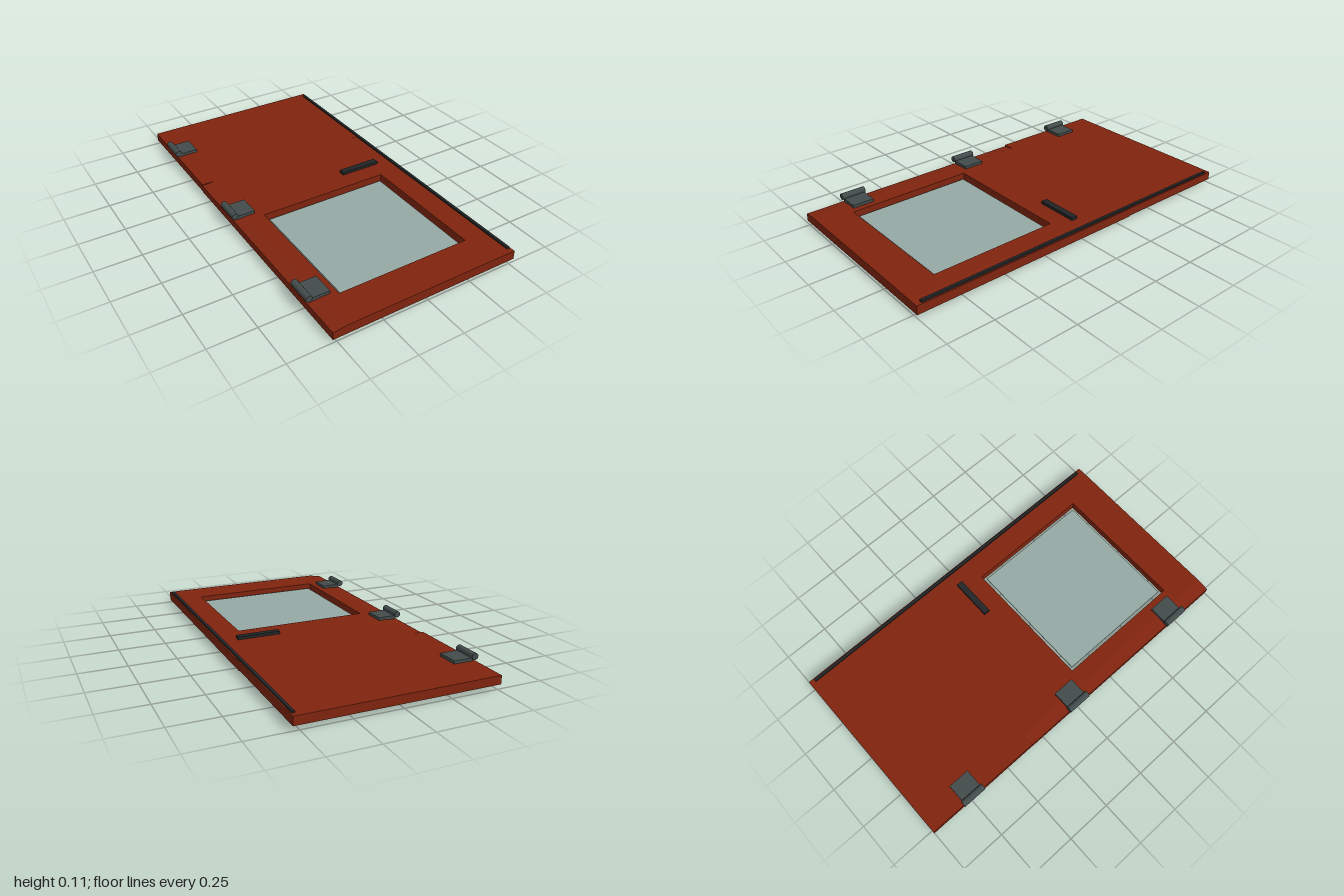
import * as THREE from 'three';

const paint = (name, color) => Object.assign(new THREE.MeshStandardMaterial({ color }), { name });

export function createModel() {
  const red = paint('red paint', 0x80240f);
  const glass = paint('window glass', 0x95a9a5);
  const steel = paint('dark steel', 0x424b4b);
  const black = paint('black rubber', 0x222425);
  const door = new THREE.Group();
  door.name = 'door';

  function add(name, geometry, material, parent = door) {
    const mesh = new THREE.Mesh(geometry, material);
    mesh.name = name;
    parent.add(mesh);
    return mesh;
  }
  // Box given by its limits on each axis
  function slab(name, [x0, x1], [y0, y1], [z0, z1], material, parent) {
    const mesh = add(name, new THREE.BoxGeometry(x1 - x0, y1 - y0, z1 - z0), material, parent);
    mesh.position.set((x0 + x1) / 2, (y0 + y1) / 2, (z0 + z1) / 2);
    return mesh;
  }
  // Cross-section in x and y, run along z
  function bar(name, points, z0, z1) {
    const shape = new THREE.Shape(points.map(([x, y]) => new THREE.Vector2(x, y)));
    const geometry = new THREE.ExtrudeGeometry(shape, { depth: z1 - z0, bevelEnabled: false });
    geometry.translate(0, 0, z0);
    add(name, geometry, red);
  }

  // Door leaf: edges of the window half dip slightly at the sides
  const bottom = 0.017, top = 0.067;
  const leftEdge = [[0.53, bottom], [0.53, 0.065], [0.47, top]];
  const hingeEdge = [[-0.45, top], [-0.52, 0.058], [-0.52, bottom]];
  const full = [...leftEdge, ...hingeEdge];
  bar('frontRail', full, 0.81, 1);
  bar('middleRail', full, -0.33, 0.1);
  bar('hingeStile', [[-0.365, bottom], [-0.365, top], ...hingeEdge], 0.1, 0.81);
  bar('latchStile', [...leftEdge, [0.38, top], [0.38, bottom]], 0.1, 0.81);
  slab('rearPanel', [-0.52, 0.53], [0.022, top], [-1, -0.33], red);

  // Window pane, held clear of its opening
  slab('windowPane', [-0.345, 0.36], [0.035, 0.043], [0.12, 0.79], glass);

  // Edge seal and handle
  slab('edgeSeal', [0.507, 0.523], [0.06, 0.075], [-0.97, 0.97], black);
  slab('handle', [0.195, 0.43], [0.066, 0.083], [-0.04, -0.005], black);

  // Lining under the rear half with cross ribs
  slab('lining', [-0.45, 0.47], [0.009, 0.024], [-0.91, -0.03], black);
  for (const z of [-0.2, -0.47, -0.74]) {
    slab('liningRib', [-0.415, 0.43], [0, 0.01], [z - 0.025, z + 0.025], black);
  }

  // Hinges: a leaf and a barrel each
  for (const z of [-0.733, 0, 0.73]) {
    const hinge = new THREE.Group();
    hinge.name = 'hinge';
    hinge.position.z = z;
    slab('hingeLeaf', [-0.507, -0.4], [0.064, 0.083], [-0.06, 0.06], steel, hinge);
    const barrel = add('hingeBarrel', new THREE.CylinderGeometry(0.018, 0.018, 0.135, 16), steel, hinge);
    barrel.rotation.x = Math.PI / 2;
    barrel.position.set(-0.515, 0.09, 0);
    door.add(hinge);
  }
  return door;
}
